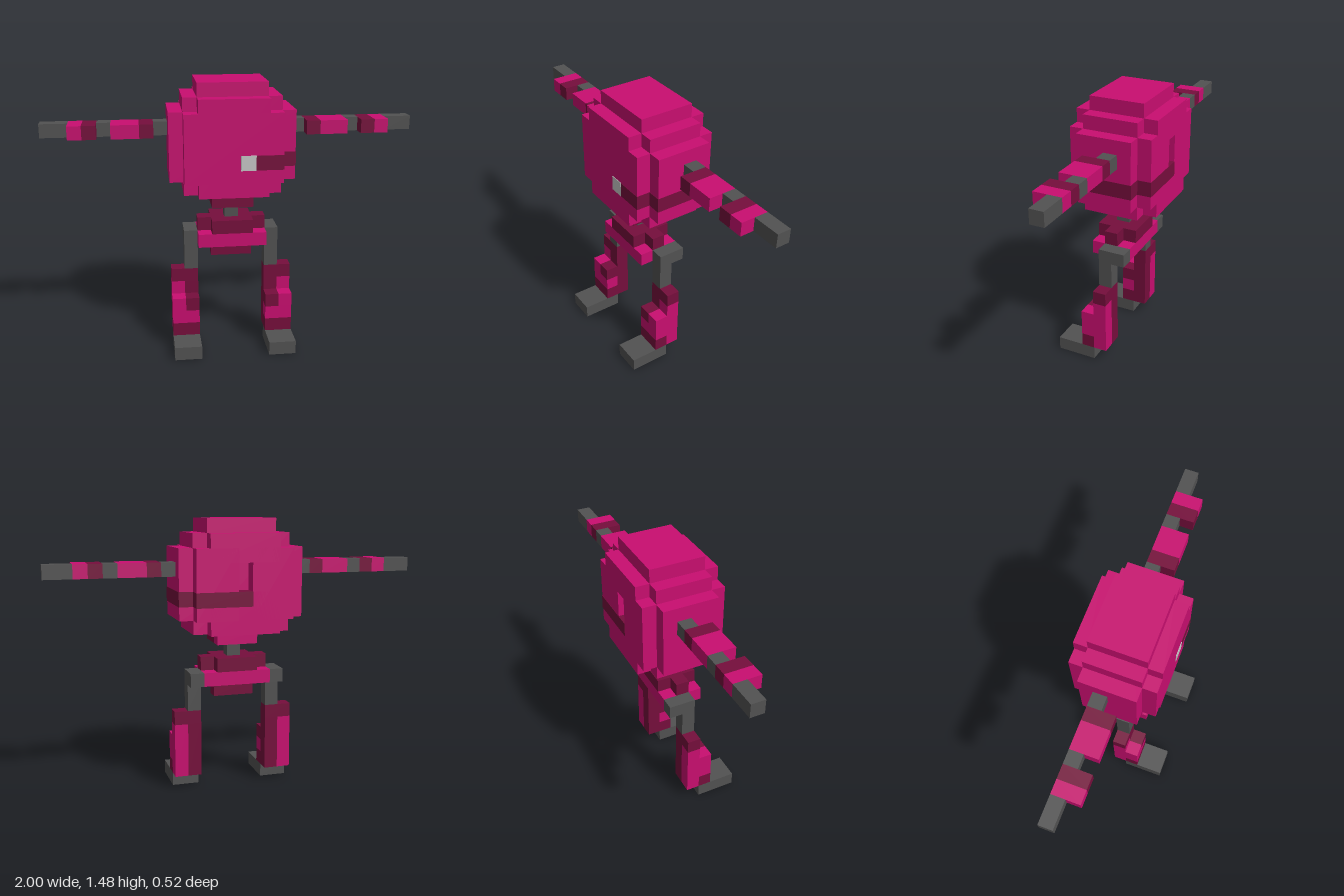
import * as THREE from 'three';

const U = 2 / 27; // size of one block

export function createModel() {
  const model = new THREE.Group();
  model.name = 'blockRobot';
  const mat = (name, color) => {
    const m = new THREE.MeshStandardMaterial({ color });
    m.name = name;
    return m;
  };
  const pink = mat('pink', 0xc90e70);
  const dark = mat('dark maroon', 0x760e3c);
  const gray = mat('dark gray', 0x525252);
  const light = mat('light gray', 0xc8c8c8);

  const part = (name) => {
    const g = new THREE.Group();
    g.name = name;
    model.add(g);
    return g;
  };
  // Box given by its x, y and z ranges in blocks, optionally swollen a little
  const box = (parent, name, m, [x0, x1], [y0, y1], [z0, z1], grow = 0) => {
    const geo = new THREE.BoxGeometry(
      (x1 - x0) * U + 2 * grow, (y1 - y0) * U + 2 * grow, (z1 - z0) * U + 2 * grow);
    const mesh = new THREE.Mesh(geo, m);
    mesh.name = name;
    mesh.position.set((x0 + x1) / 2 * U, (y0 + y1) / 2 * U, (z0 + z1) / 2 * U);
    parent.add(mesh);
  };

  // Head: stepped shell
  const head = part('head');
  box(head, 'headSides', pink, [-4.5, 4.5], [13, 18], [-2.5, 1.5]);
  box(head, 'headCore', pink, [-3.5, 3.5], [12, 19], [-2.5, 1.5]);
  box(head, 'headCap', pink, [-2.5, 2.5], [19, 20], [-2.5, 1.5]);
  box(head, 'faceWide', pink, [-3.5, 3.5], [13, 18], [1.5, 2.5]);
  box(head, 'faceTall', pink, [-2.5, 2.5], [12, 19], [1.5, 2.5]);
  // Back layer, leaving a slot in the middle
  for (const s of [0, 1]) {
    box(head, 'headBackSide', pink, s ? [0.5, 3.5] : [-3.5, -0.5], [13, 18], [-3.5, -2.5]);
  }
  box(head, 'headBackLower', pink, [-2.5, 2.5], [12, 15], [-3.5, -2.5]);
  box(head, 'headBackUpper', pink, [-2.5, 2.5], [17, 19], [-3.5, -2.5]);

  // Strap around one side of the head, and the eye at its end
  const strap = part('strap');
  box(strap, 'strapFront', dark, [1.5, 3.5], [14, 15], [0, 2.5], 0.002);
  box(strap, 'strapSide', dark, [2, 4.5], [14, 15], [-2.5, 1.5], 0.002);
  box(strap, 'strapBack', dark, [-0.5, 3.5], [14, 15], [-3.5, 0], 0.002);
  box(head, 'eye', light, [0.5, 1.5], [14, 15], [2, 2.5], 0.003);

  // Neck and torso
  const torso = part('torso');
  box(torso, 'collarFront', dark, [-1.5, 1.5], [11, 12], [-0.5, 1.5]);
  box(torso, 'collarBack', pink, [-1.5, 1.5], [11, 12], [-1.5, -0.5]);
  box(torso, 'neck', gray, [-0.5, 0.5], [10, 11], [-0.5, 0.5]);
  box(torso, 'waistWide', dark, [-2.5, 2.5], [9, 10], [-0.5, 0.5]);
  for (const z of [[0.5, 1.5], [-1.5, -0.5]]) {
    box(torso, 'waistDeep', dark, [-1.5, 1.5], [9, 10], z);
  }
  box(torso, 'pelvis', pink, [-2.5, 2.5], [8, 9], [-1.5, 1.5]);
  box(torso, 'pelvisBase', dark, [-1.5, 1.5], [7, 8], [-0.5, 0.5]);

  // Arm segments: name, material, start, end, front depth
  const armParts = [
    ['shoulder', gray, 4.5, 5.5, -0.5],
    ['upperArmBand', dark, 5.5, 6.5, 0.5],
    ['upperArm', pink, 6.5, 8.5, 0.5],
    ['elbow', gray, 8.5, 9.5, -0.5],
    ['forearmBand', dark, 9.5, 10.5, 0.5],
    ['forearm', pink, 10.5, 11.5, 0.5],
    ['hand', gray, 11.5, 13.5, -0.5],
  ];
  // Leg blocks: name, material, x, y and z ranges
  const legParts = [
    ['hip', gray, [2.5, 3.5], [8, 9], [-1.5, 0.5]],
    ['thigh', gray, [2.5, 3.5], [6, 8], [-0.5, 0.5]],
    ['knee', dark, [2.5, 4.5], [5, 6], [-0.5, 0.5]],
    ['calfInner', dark, [2.5, 3.5], [1, 5], [-0.5, 0.5]],
    ['calfOuter', pink, [3.5, 4.5], [1, 5], [-0.5, 0.5]],
    ['shinInner', dark, [2.5, 3.5], [3, 4], [0.5, 1.5]],
    ['shinOuter', pink, [3.5, 4.5], [3, 4], [0.5, 1.5]],
    ['shinLower', pink, [2.5, 4.5], [2, 3], [0.5, 1.5]],
    ['ankle', dark, [2.5, 4.5], [1, 2], [0.5, 1.5]],
    ['foot', gray, [2.5, 4.5], [0, 1], [0.5, 3.5]],
  ];
  for (const [side, s] of [['left', 1], ['right', -1]]) {
    const flip = ([a, b]) => (s > 0 ? [a, b] : [-b, -a]);
    const arm = part(side + 'Arm');
    for (const [name, m, x0, x1, front] of armParts) {
      box(arm, name, m, flip([x0, x1]), [16, 17], [-1.5, front]);
    }
    const leg = part(side + 'Leg');
    for (const [name, m, x, y, z] of legParts) box(leg, name, m, flip(x), y, z);
  }
  return model;
}
